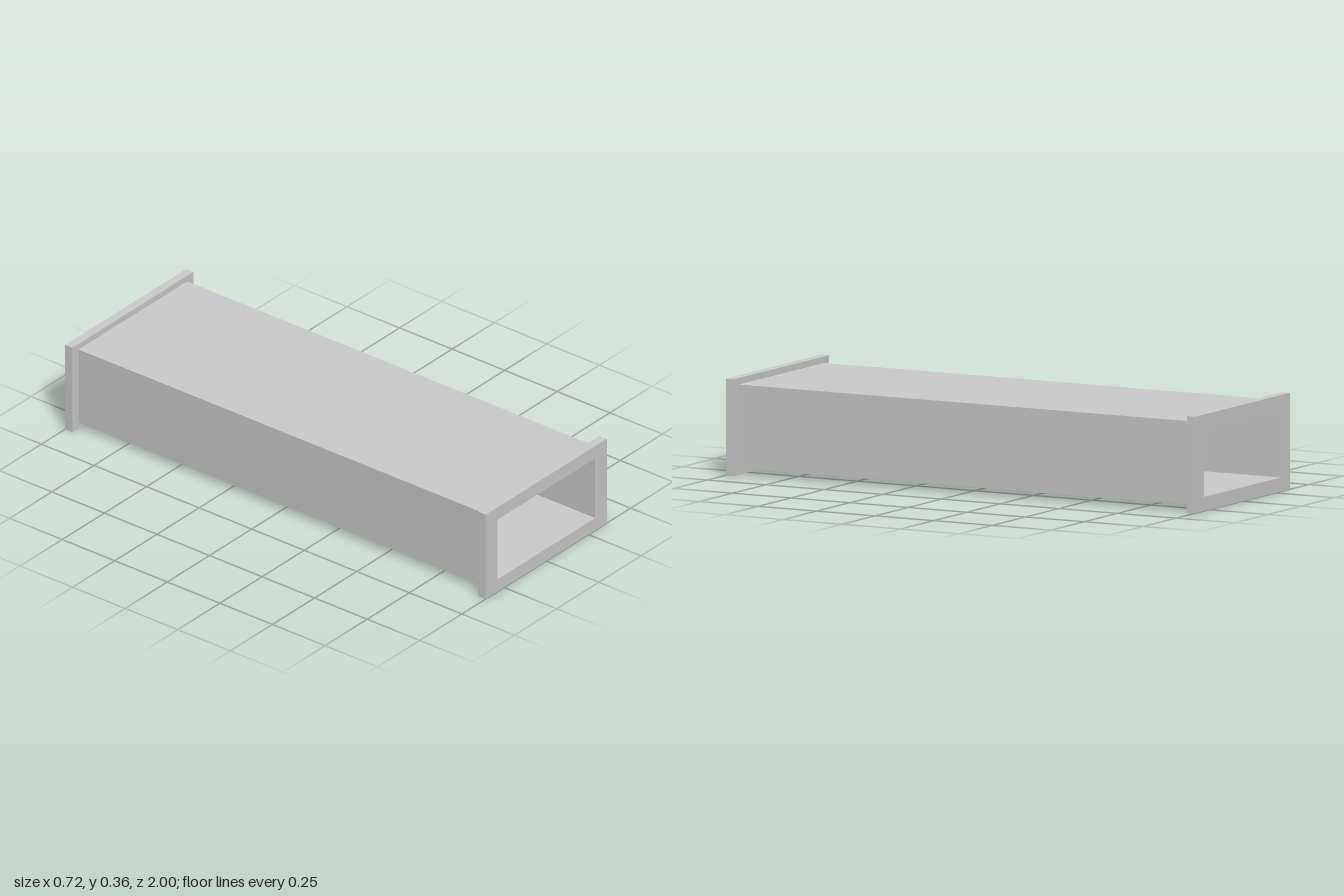
import * as THREE from 'three';

const CY = 0.181;                     // height of the duct axis
const OUT = { x: 0.322, y: 0.157 };   // duct outer half sizes
const INN = { x: 0.29, y: 0.128 };    // duct inner half sizes
const FLANGE = { x: 0.359, y: 0.181, depth: 0.034 };
const VENT = 0.255;                   // half size of the floor opening
const WALL_Y = OUT.y - INN.y;

export function createModel() {
  const group = new THREE.Group();
  const material = new THREE.MeshStandardMaterial({ color: 0xcccccc });

  const add = (name, geometry, x, y, z) => {
    const mesh = new THREE.Mesh(geometry, material);
    mesh.name = name;
    mesh.position.set(x, y, z);
    group.add(mesh);
    return mesh;
  };

  // Rectangular plate with a rectangular opening, extruded along +z
  const rect = (Type, hx, hy) => new Type([
    new THREE.Vector2(-hx, -hy), new THREE.Vector2(hx, -hy),
    new THREE.Vector2(hx, hy), new THREE.Vector2(-hx, hy),
  ]);
  const frame = (hx, hy, holeX, holeY, depth) => {
    const shape = rect(THREE.Shape, hx, hy);
    shape.holes.push(rect(THREE.Path, holeX, holeY));
    return new THREE.ExtrudeGeometry(shape, { depth, bevelEnabled: false });
  };

  const halfLength = 1 - FLANGE.depth;

  // Duct walls
  add('ductRoof', new THREE.BoxGeometry(OUT.x * 2, WALL_Y, halfLength * 2),
    0, CY + (OUT.y + INN.y) / 2, 0);
  for (const [side, s] of [['left', 1], ['right', -1]]) {
    add(side + 'DuctWall', new THREE.BoxGeometry(OUT.x - INN.x, INN.y * 2, halfLength * 2),
      s * (OUT.x + INN.x) / 2, CY, 0);
  }

  // Floor with a square vent opening
  const floor = frame(OUT.x, halfLength, VENT, VENT, WALL_Y);
  floor.rotateX(-Math.PI / 2);
  add('ductFloor', floor, 0, CY - OUT.y, 0);

  // Grille slats across the vent
  const slats = 20, pitch = (VENT * 2) / slats;
  const slatGeometry = new THREE.BoxGeometry(VENT * 2, WALL_Y - 0.002, 0.006);
  for (let i = 0; i < slats; i++) {
    add('grilleSlat', slatGeometry, 0, CY - (OUT.y + INN.y) / 2, -VENT + (i + 0.5) * pitch);
  }

  // End flanges
  const flange = frame(FLANGE.x, FLANGE.y, INN.x, INN.y, FLANGE.depth);
  add('frontFlange', flange, 0, CY, halfLength);
  add('backFlange', flange, 0, CY, -1);

  return group;
}
